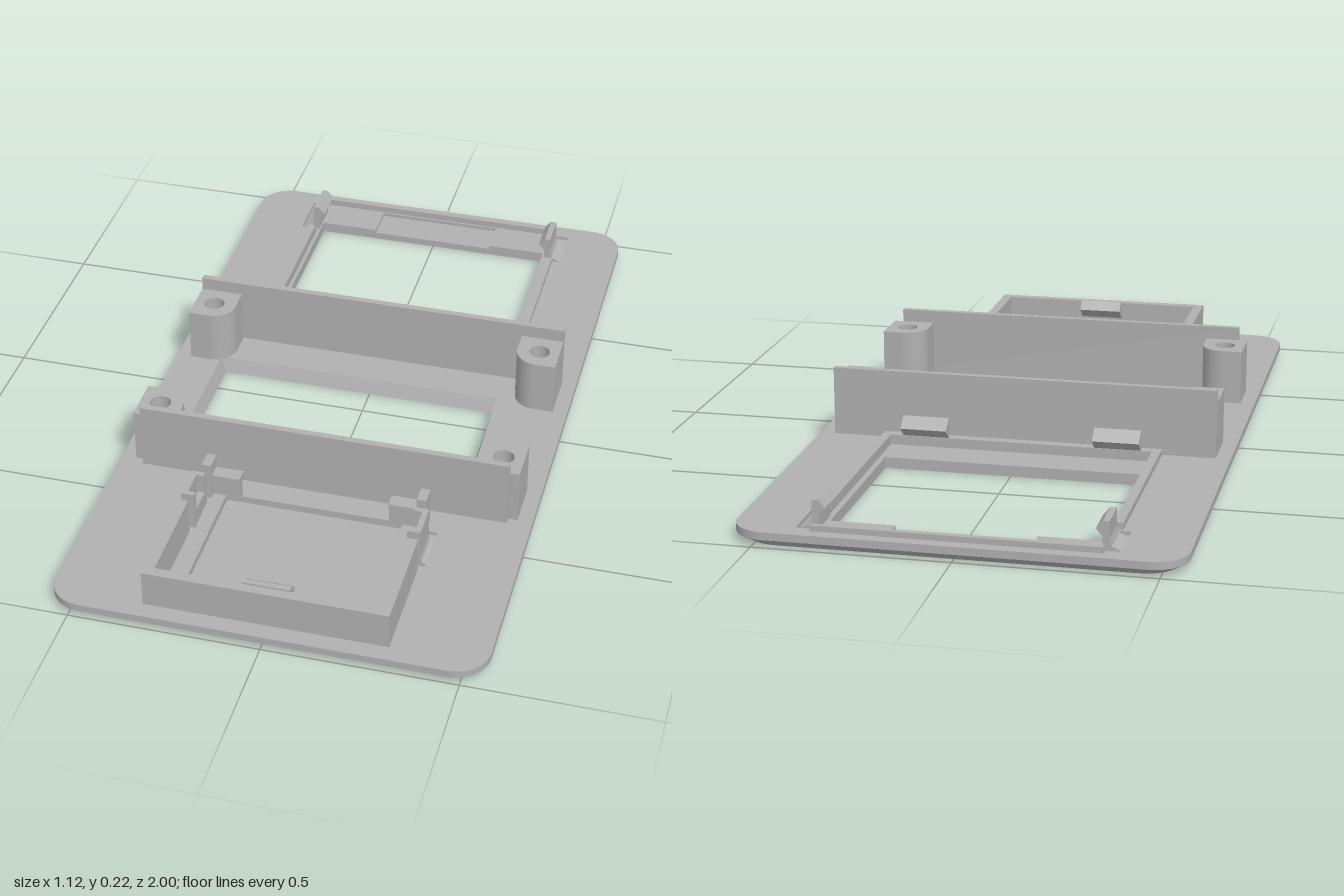
import * as THREE from 'three';

const grey = new THREE.MeshStandardMaterial({ color: 0xb0b0b0 });
grey.name = 'plain grey';

// closed outline from [x, z] pairs
const outline = (pts, Type = THREE.Shape) => new Type(pts.map(([x, z]) => new THREE.Vector2(x, z)));
const rect = (x0, x1, z0, z1) => [[x0, z0], [x1, z0], [x1, z1], [x0, z1]];

// flat slab: an x-z shape standing between two heights
function slab(shape, y0, y1) {
  const g = new THREE.ExtrudeGeometry(shape, { depth: y1 - y0, bevelEnabled: false, curveSegments: 16 });
  return g.rotateX(Math.PI / 2).translate(0, y1, 0);
}

export function createModel() {
  const model = new THREE.Group();
  model.name = 'facePlate';

  const add = (name, geometry, parent = model) => {
    const m = new THREE.Mesh(geometry, grey);
    m.name = name;
    parent.add(m);
    return m;
  };
  const box = (name, x0, x1, y0, y1, z0, z1) =>
    add(name, new THREE.BoxGeometry(x1 - x0, y1 - y0, z1 - z0)
      .translate((x0 + x1) / 2, (y0 + y1) / 2, (z0 + z1) / 2));
  // prism along x from a profile of [z, y] pairs
  const prismX = (name, profile, x0, x1) => {
    const s = outline(profile.map(([z, y]) => [-z, y]));
    const g = new THREE.ExtrudeGeometry(s, { depth: x1 - x0, bevelEnabled: false });
    return add(name, g.rotateY(Math.PI / 2).translate(x0, 0, 0));
  };
  // prism along z from a profile of [x, y] pairs
  const prismZ = (name, profile, z0, z1) =>
    add(name, new THREE.ExtrudeGeometry(outline(profile), { depth: z1 - z0, bevelEnabled: false })
      .translate(0, 0, z0));

  // ---- base plate in three layers, each with its own cut-outs ----
  const plateShape = (holes) => {
    const w = 0.56, d = 1, r = 0.09;
    const s = new THREE.Shape();
    s.absarc(w - r, d - r, r, 0, Math.PI / 2);
    s.absarc(r - w, d - r, r, Math.PI / 2, Math.PI);
    s.absarc(r - w, r - d, r, Math.PI, Math.PI * 1.5);
    s.absarc(w - r, r - d, r, Math.PI * 1.5, Math.PI * 2);
    s.holes = holes.map((h) => outline(h, THREE.Path));
    return s;
  };
  const bigWindow = rect(-0.345, 0.34, -0.86, -0.36);
  const gripWindow = [[-0.345, -0.86], [-0.18, -0.86], [-0.18, -0.96], [0.175, -0.96], [0.175, -0.86],
    [0.34, -0.86], [0.34, -0.36], [-0.345, -0.36]];
  const doorRecess = [[-0.355, -0.965], [0.355, -0.965], [0.355, -0.95], [0.4, -0.95], [0.4, -0.81],
    [0.355, -0.81], [0.355, -0.25], [-0.355, -0.25], [-0.355, -0.81], [-0.4, -0.81], [-0.4, -0.95], [-0.355, -0.95]];
  const screen = rect(-0.42, 0.35, -0.08, 0.29);
  const trayRecess = rect(-0.24, 0.235, 0.49, 0.925);
  const slots = [];
  for (const x of [-0.303, 0.303])
    for (const z of [0.52, 0.645]) slots.push(rect(x - 0.027, x + 0.027, z - 0.014, z + 0.014));

  const layers = [
    ['plateBottom', 0, 0.02, [bigWindow, screen]],
    ['plateMiddle', 0.02, 0.03, [gripWindow, screen, trayRecess]],
    ['plateTop', 0.03, 0.04, [doorRecess, screen, trayRecess, ...slots]],
  ];
  for (const [name, y0, y1, holes] of layers) {
    const g = slab(plateShape(holes), y0, y1);
    const p = g.attributes.position;
    for (let i = 0; i < p.count; i++) {
      const x = p.getX(i), y = p.getY(i), z = p.getZ(i);
      if (Math.abs(x) > 0.46) {
        // chamfer around the lower outer edge
        if (y < 0.01) p.setXYZ(i, x * 0.955, y, z * 0.975);
      } else if (z > -0.12 && z < 0.32) {
        // sloped sides of the middle window
        const k = (y / 0.04) * 0.016;
        p.setXYZ(i, x + Math.sign(x) * k, y, z + (z > 0.1 ? k : -k));
      }
    }
    g.computeVertexNormals();
    add(name, g);
  }

  // ---- cross walls and screw posts ----
  box('backWall', -0.52, 0.52, 0.04, 0.225, -0.218, -0.2);
  box('frontWall', -0.495, 0.495, 0.04, 0.225, 0.405, 0.423);

  for (const sx of [-1, 1]) {
    for (const [cz, toWall] of [[-0.137, -1], [0.342, 1]]) {
      const s = new THREE.Shape();
      const r = 0.062, e = 0.055;
      // rounded on the inner corner, square elsewhere
      s.moveTo(e, r);
      s.lineTo(-r, r);
      s.lineTo(-r, 0);
      s.absarc(0, 0, r, Math.PI, Math.PI * 1.5);
      s.lineTo(e, -r);
      s.closePath();
      const pts = s.getPoints(12).map((v) => [sx * v.x + sx * 0.465, toWall * v.y + cz]);
      const post = outline(pts);
      const hole = new THREE.Path();
      hole.absarc(sx * 0.465, cz, 0.028, 0, Math.PI * 2);
      post.holes.push(hole);
      add('screwPost', slab(post, 0.04, 0.19));
    }
  }

  // ---- front tray: U-shaped wall with a catch ----
  add('trayWall', slab(outline([[-0.315, 0.66], [-0.315, 0.955], [0.315, 0.955], [0.315, 0.66],
    [0.288, 0.66], [0.288, 0.928], [-0.288, 0.928], [-0.288, 0.66]]), 0.04, 0.14));
  prismX('trayCatch', [[0.93, 0.145], [0.915, 0.145], [0.888, 0.122], [0.93, 0.09]], -0.063, 0.06);

  for (const s of [-1, 1]) {
    const bar = (name, a, b, y0, y1, z0, z1) =>
      box(name, Math.min(s * a, s * b), Math.max(s * a, s * b), y0, y1, z0, z1);

    // spring fingers beside the tray
    bar('trayFinger', 0.3, 0.315, 0.04, 0.14, 0.538, 0.634);
    for (const z of [0.538, 0.62]) bar('fingerRib', 0.28, 0.3, 0.04, 0.14, z, z + 0.014);
    bar('fingerStep', 0.28, 0.3, 0.04, 0.085, 0.552, 0.62);
    prismZ('fingerFoot', s > 0
      ? [[0.315, 0.04], [0.33, 0.04], [0.319, 0.044], [0.315, 0.055]]
      : [[-0.315, 0.04], [-0.315, 0.055], [-0.319, 0.044], [-0.33, 0.04]], 0.538, 0.634);

    // corner stops at the back of the tray
    bar('trayStop', 0.275, 0.3, 0.04, 0.14, 0.46, 0.508);
    bar('trayStopArm', 0.2, 0.275, 0.04, 0.105, 0.478, 0.496);
    bar('trayStopLip', 0.2, 0.275, 0.09, 0.105, 0.465, 0.503);

    // raised rails along the back window
    bar('windowRail', 0.355, 0.378, 0.04, 0.057, -0.8, -0.222);

    // spring clips at the back window
    bar('clipPlate', 0.35, 0.366, 0.03, 0.105, -0.925, -0.825);
    const hook = [[0.35, 0.105], [0.35, 0.065], [0.333, 0.085]].map(([x, y]) => [s * x, y]);
    prismZ('clipHook', hook, -0.925, -0.825);
    const foot = [[0.366, 0.03], [0.4, 0.03], [0.372, 0.042], [0.366, 0.06]].map(([x, y]) => [s * x, y]);
    prismZ('clipFoot', foot, -0.925, -0.825);

    // wedge catches near the back wall
    prismX('windowCatch', [[-0.245, 0.112], [-0.245, 0.055], [-0.28, 0.085]],
      s > 0 ? 0.195 : -0.325, s > 0 ? 0.32 : -0.2);
  }
  box('windowRailFront', -0.378, 0.378, 0.04, 0.057, -0.25, -0.222);
  box('windowLip', -0.36, 0.36, 0.04, 0.055, -0.968, -0.955);

  return model;
}
